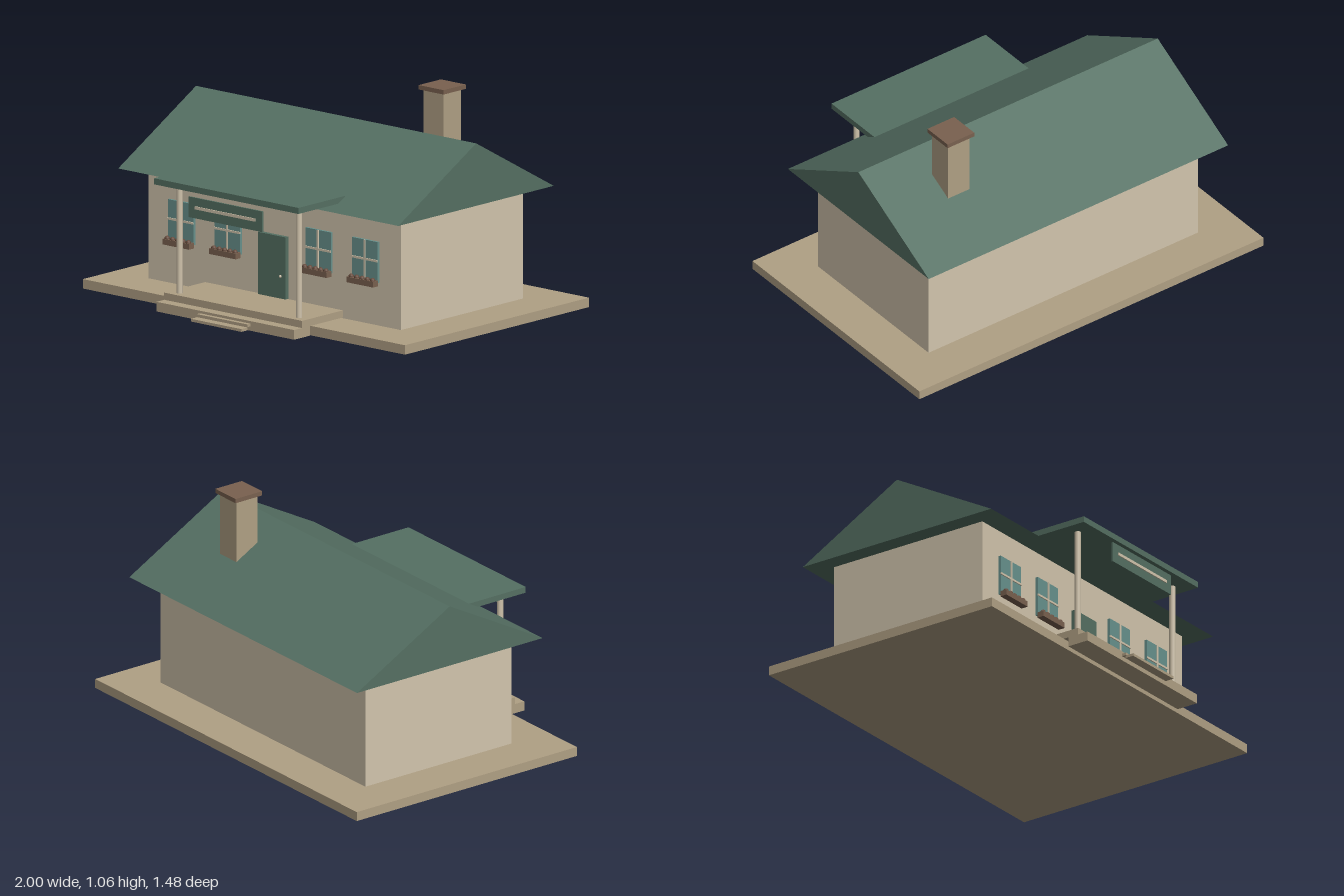
import * as THREE from 'three';

export function createModel() {
  const house = new THREE.Group();
  house.name = 'house';

  const paint = (name, color) => {
    const m = new THREE.MeshStandardMaterial({ color });
    m.name = name;
    return m;
  };
  const cream = paint('cream', 0xd2c5ad);
  const stone = paint('stone', 0xb0a084);
  const green = paint('green', 0x557063);
  const brown = paint('brown', 0x79614f);
  const darkBrown = paint('dark brown', 0x654a3c);
  const glass = paint('glass', 0x68928d);

  const add = (name, geometry, material, parent = house) => {
    const mesh = new THREE.Mesh(geometry, material);
    mesh.name = name;
    parent.add(mesh);
    return mesh;
  };
  // Box given by its extents on each axis
  const box = (name, material, [x0, x1], [y0, y1], [z0, z1], parent = house) => {
    const mesh = add(name, new THREE.BoxGeometry(x1 - x0, y1 - y0, z1 - z0), material, parent);
    mesh.position.set((x0 + x1) / 2, (y0 + y1) / 2, (z0 + z1) / 2);
    return mesh;
  };

  // Plinth and walls
  box('plinth', stone, [-1, 1], [0, 0.045], [-0.738, 0.545]);
  box('walls', cream, [-0.783, 0.783], [0.045, 0.58], [-0.522, 0.33]);

  // Gable roof: triangle across z, extruded along x
  const gable = new THREE.Shape([
    new THREE.Vector2(-0.445, 0.575),
    new THREE.Vector2(0.638, 0.575),
    new THREE.Vector2(0.097, 0.873),
  ]);
  const roof = new THREE.ExtrudeGeometry(gable, { depth: 1.74, bevelEnabled: false });
  roof.translate(0, 0, -0.87);
  roof.rotateY(Math.PI / 2);
  add('roof', roof, green);

  // Chimney
  box('chimney', stone, [0.42, 0.545], [0.65, 1.037], [-0.357, -0.234]);
  box('chimneyCap', brown, [0.405, 0.56], [1.035, 1.056], [-0.373, -0.218]);

  // Porch with its platform, steps, posts and flat roof
  const porch = new THREE.Group();
  porch.name = 'porch';
  house.add(porch);
  box('porchFloor', stone, [-0.428, 0.428], [0.05, 0.084], [0.335, 0.62], porch);
  box('porchStep', stone, [-0.428, 0.428], [0.004, 0.05], [0.565, 0.675], porch);
  box('upperStep', stone, [-0.157, 0.157], [0.025, 0.038], [0.655, 0.697], porch);
  box('lowerStep', stone, [-0.157, 0.157], [0.01, 0.023], [0.695, 0.739], porch);
  box('porchRoof', green, [-0.448, 0.448], [0.605, 0.634], [0.32, 0.668], porch);
  for (const side of [-1, 1]) {
    const post = add('porchPost', new THREE.CylinderGeometry(0.015, 0.015, 0.525, 10), cream, porch);
    post.position.set(side * 0.371, 0.345, 0.577);
  }

  // Hanging sign board with a pale stripe
  box('signBoard', green, [-0.228, 0.228], [0.485, 0.583], [0.666, 0.674]);
  box('signStripe', cream, [-0.188, 0.188], [0.529, 0.543], [0.674, 0.679]);

  // Door
  box('door', green, [-0.084, 0.084], [0.08, 0.38], [0.325, 0.351]);
  const knob = add('doorKnob', new THREE.SphereGeometry(0.007, 10, 8), cream);
  knob.position.set(0.056, 0.19, 0.354);

  // Windows with crossbars and planted boxes
  for (const x of [-0.574, -0.284, 0.28, 0.57]) {
    const window = new THREE.Group();
    window.name = 'window';
    window.position.x = x;
    house.add(window);
    box('pane', glass, [-0.08, 0.08], [0.25, 0.445], [0.325, 0.342], window);
    box('verticalBar', cream, [-0.005, 0.005], [0.25, 0.445], [0.34, 0.347], window);
    box('horizontalBar', cream, [-0.08, 0.08], [0.349, 0.359], [0.34, 0.347], window);
    box('flowerBox', brown, [-0.083, 0.083], [0.235, 0.262], [0.342, 0.377], window);
    for (let i = -2; i <= 2; i++) {
      const plant = add('plant', new THREE.SphereGeometry(0.013, 10, 8), darkBrown, window);
      plant.position.set(i * 0.033, 0.263, 0.362);
    }
  }

  return house;
}
